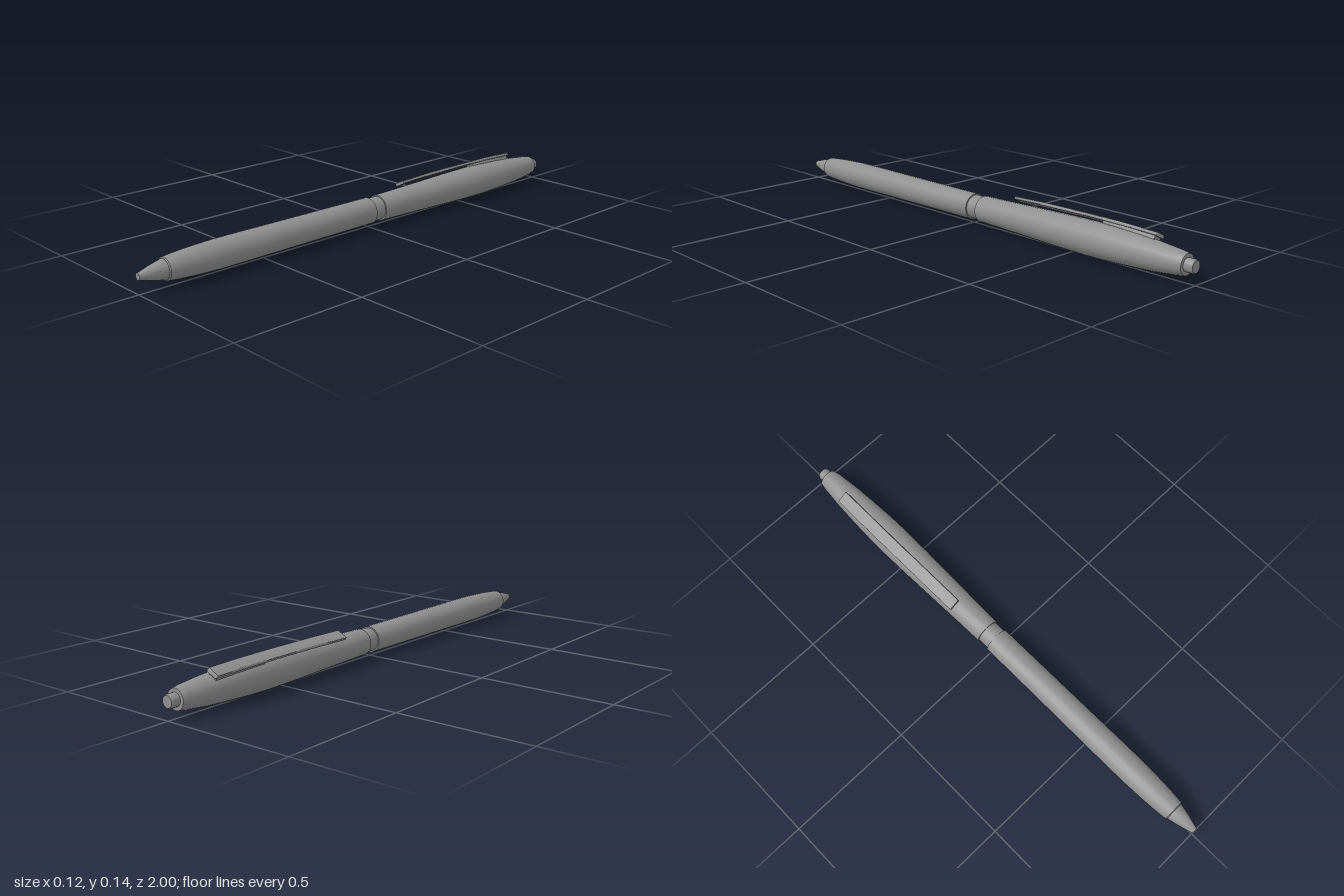
import * as THREE from 'three';
import { toCreasedNormals } from 'three/addons/utils/BufferGeometryUtils.js';

const AXIS_Y = 0.063;
const CLIP_ANGLE = THREE.MathUtils.degToRad(27);

export function createModel() {
  const pen = new THREE.Group();
  pen.name = 'pen';
  const material = new THREE.MeshStandardMaterial({ color: 0x909090 });

  function add(name, geometry, parent = pen) {
    const mesh = new THREE.Mesh(toCreasedNormals(geometry, 0.5), material);
    mesh.name = name;
    parent.add(mesh);
    return mesh;
  }

  // Turned part along z; profile is [radius, z] from back to front
  function turned(name, profile) {
    const points = profile.map(([r, z]) => new THREE.Vector2(r, z));
    const geometry = new THREE.LatheGeometry(points, 20);
    geometry.rotateX(Math.PI / 2);
    add(name, geometry).position.y = AXIS_Y;
  }

  turned('tip', [[0, 0.88], [0.036, 0.88], [0.036, 0.905], [0.026, 0.95], [0.014, 0.99], [0.012, 1], [0, 1]]);
  turned('lowerBarrel', [
    [0, -0.005], [0.05, -0.005], [0.051, 0.3], [0.0525, 0.6], [0.0525, 0.7],
    [0.049, 0.8], [0.045, 0.86], [0.041, 0.9], [0.037, 0.903], [0, 0.903],
  ]);
  turned('neckRing', [[0, -0.06], [0.045, -0.06], [0.045, 0.005], [0, 0.005]]);
  turned('upperBarrel', [
    [0, -0.967], [0.037, -0.967], [0.042, -0.94], [0.051, -0.85], [0.057, -0.75], [0.061, -0.65],
    [0.062, -0.58], [0.06, -0.45], [0.056, -0.3], [0.052, -0.15], [0.05, -0.053], [0, -0.053],
  ]);
  turned('pushButton', [[0, -1], [0.021, -1], [0.024, -0.994], [0.024, -0.95], [0, -0.95]]);

  // Clip: side outlines as [z, height above axis], extruded across the width
  const clip = new THREE.Group();
  clip.name = 'clip';
  clip.position.y = AXIS_Y;
  clip.rotation.z = CLIP_ANGLE;
  pen.add(clip);

  function clipPart(name, outline, width, bevel) {
    const shape = new THREE.Shape(outline.map(([z, h]) => new THREE.Vector2(z, h)));
    const depth = width - 2 * bevel;
    const geometry = new THREE.ExtrudeGeometry(shape, {
      depth, bevelThickness: bevel, bevelSize: bevel, bevelOffset: -bevel, bevelSegments: 3,
    });
    geometry.translate(0, 0, -depth / 2);
    geometry.rotateY(-Math.PI / 2);
    add(name, geometry, clip);
  }

  clipPart('clipBar', [
    [-0.2, 0.061], [-0.2, 0.073], [-0.35, 0.077], [-0.55, 0.079], [-0.7, 0.078], [-0.835, 0.074],
    [-0.84, 0.061], [-0.7, 0.066], [-0.55, 0.067], [-0.35, 0.065],
  ], 0.048, 0.004);
  clipPart('clipMount', [
    [-0.61, 0.055], [-0.61, 0.07], [-0.7, 0.07], [-0.83, 0.066], [-0.83, 0.045],
  ], 0.036, 0.002);

  return pen;
}
